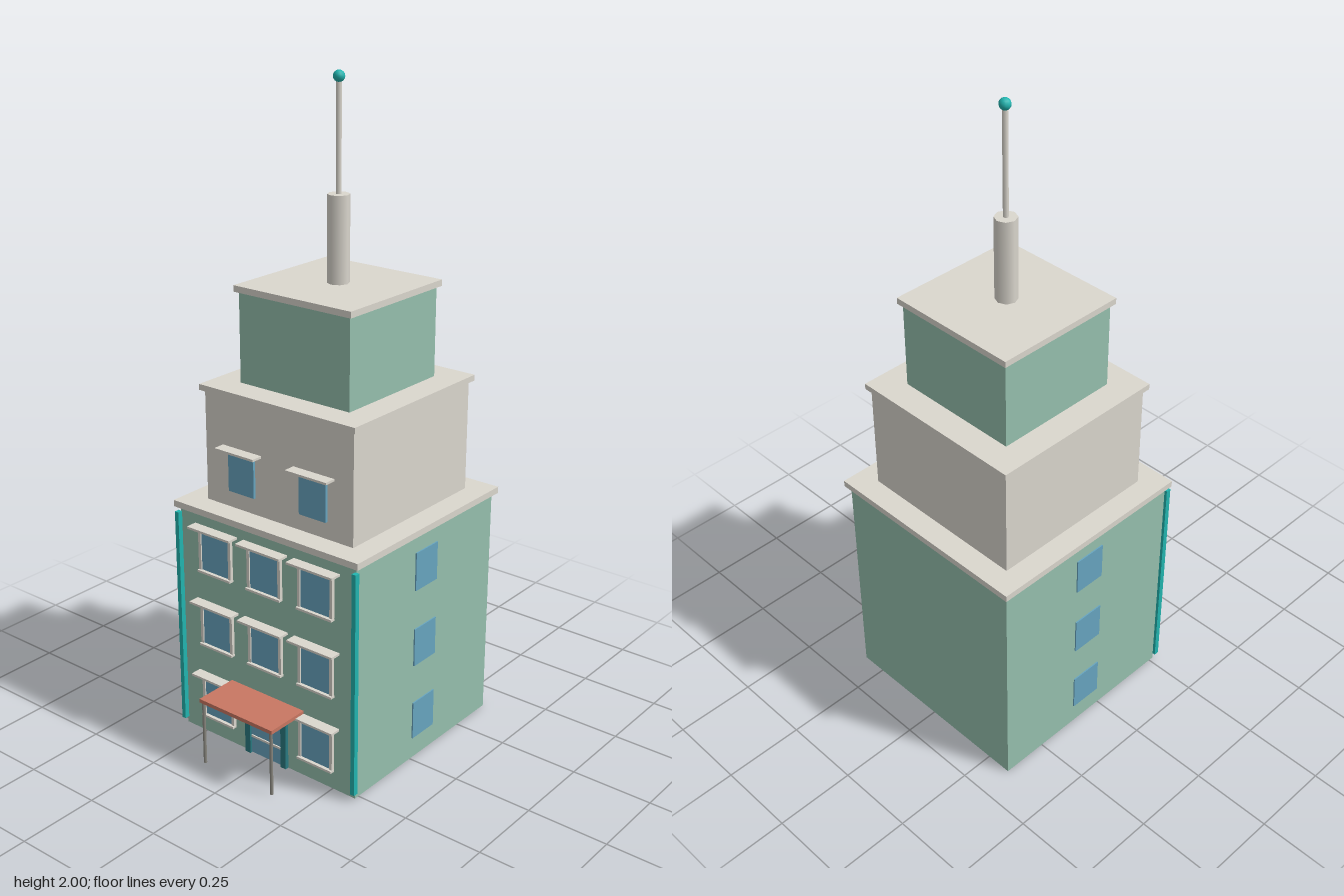
import * as THREE from 'three';

const mat = (color) => new THREE.MeshStandardMaterial({ color });

export function createModel() {
  const root = new THREE.Group();
  const green = mat(0x96c0ae), stone = mat(0xdbd7ce), glass = mat(0x68a5c0), teal = mat(0x22b5b0);
  const darkTeal = mat(0x2a7a80), red = mat(0xc97762), metal = mat(0x8a8880);
  const axisZ = -0.065; // the tower's own centre line

  function add(name, geometry, material, x, y, z, parent = root) {
    const mesh = new THREE.Mesh(geometry, material);
    mesh.name = name;
    mesh.position.set(x, y, z);
    parent.add(mesh);
    return mesh;
  }
  // box given by width, height, depth and its centre
  const box = (name, m, w, h, d, x, y, z, parent) =>
    add(name, new THREE.BoxGeometry(w, h, d), m, x, y, z, parent);

  // stepped tiers: half width, bottom, top, half width of the roof slab, slab top
  const tiers = [
    ['lower', green, 0.331, 0, 0.735, 0.345, 0.755],
    ['middle', stone, 0.273, 0.755, 1.097, 0.285, 1.115],
    ['upper', green, 0.2, 1.115, 1.387, 0.211, 1.406],
  ];
  for (const [name, m, r, y0, y1, slab, y2] of tiers) {
    box(name + 'Tier', m, 2 * r, y1 - y0, 2 * r, 0, (y0 + y1) / 2, axisZ);
    box(name + 'Cornice', stone, 2 * slab, y2 - y1, 2 * slab, 0, (y1 + y2) / 2, axisZ);
  }

  // mast with antenna and ball
  add('mastBase', new THREE.CylinderGeometry(0.033, 0.033, 0.255, 8), stone, 0, 1.533, axisZ);
  add('antenna', new THREE.CylinderGeometry(0.008, 0.008, 0.325, 8), stone, 0, 1.82, axisZ);
  add('antennaBall', new THREE.SphereGeometry(0.017, 10, 8), teal, 0, 1.983, axisZ);

  // front windows: pane and hood, with optional frame and sill
  function frontWindow(x, y, z, w, h, hoodW, framed) {
    const g = new THREE.Group();
    g.name = 'frontWindow';
    g.position.set(x, y, z);
    root.add(g);
    box('pane', glass, w, h, 0.008, 0, 0, 0.002, g);
    box('hood', stone, hoodW, 0.007, 0.037, 0, h / 2 + 0.01, 0.0175, g);
    if (!framed) return;
    for (const s of [-1, 1]) box('frameSide', stone, 0.01, h, 0.012, s * (w / 2 + 0.005), 0, 0.004, g);
    box('sill', stone, w + 0.022, 0.007, 0.017, 0, -h / 2 - 0.004, 0.0075, g);
  }
  for (const y of [0.13, 0.375, 0.62]) {
    for (const x of [-0.19, 0, 0.19]) {
      if (x === 0 && y < 0.2) continue; // the entrance stands here
      frontWindow(x, y, 0.266, 0.107, 0.128, 0.165, true);
    }
    // side windows
    for (const s of [-1, 1]) box('sideWindow', glass, 0.008, 0.12, 0.104, s * 0.331, y - 0.002, -0.06);
  }
  for (const x of [-0.133, 0.133]) frontWindow(x, 0.869, 0.21, 0.097, 0.123, 0.147, false);

  // vertical strips on the front corners
  for (const s of [-1, 1]) box('cornerStrip', teal, 0.014, 0.7, 0.016, s * 0.333, 0.37, 0.274);

  // entrance
  box('doorPane', glass, 0.12, 0.19, 0.01, 0, 0.097, 0.266);
  box('doorBar', stone, 0.115, 0.007, 0.006, 0, 0.06, 0.272);
  for (const s of [-1, 1]) box('doorJamb', darkTeal, 0.02, 0.193, 0.016, s * 0.07, 0.0965, 0.27);
  box('doorLintel', darkTeal, 0.16, 0.01, 0.016, 0, 0.198, 0.27);
  box('canopy', red, 0.28, 0.012, 0.142, 0, 0.211, 0.337);
  for (const s of [-1, 1]) {
    add('canopyPost', new THREE.CylinderGeometry(0.005, 0.005, 0.205, 8), metal, s * 0.131, 0.1025, 0.4);
  }
  return root;
}
